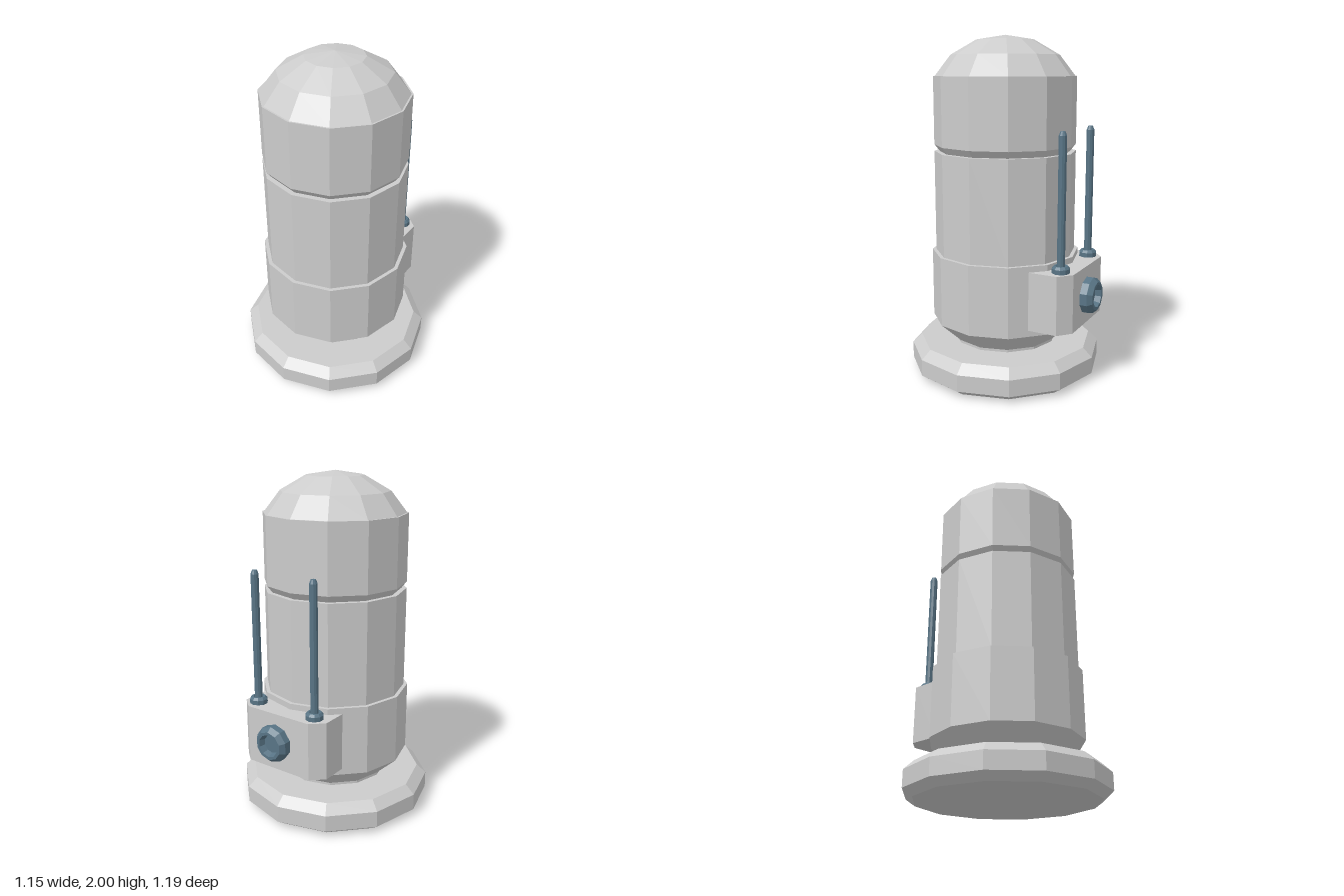
import * as THREE from 'three';

const grey = new THREE.MeshStandardMaterial({ color: 0xcccccc, flatShading: true });
const blue = new THREE.MeshStandardMaterial({ color: 0x587485, flatShading: true });

// Faceted turned part from [radius, y] pairs, listed bottom to top
function turned(name, profile, sides, material) {
  const points = profile.map(([r, y]) => new THREE.Vector2(r, y));
  const mesh = new THREE.Mesh(new THREE.LatheGeometry(points, sides), material);
  mesh.name = name;
  return mesh;
}

export function createModel() {
  const model = new THREE.Group();
  model.name = 'canister';

  // Twelve-sided body sections, stacked on one axis
  const body = new THREE.Group();
  body.name = 'body';
  body.position.z = 0.015;
  body.add(
    turned('base', [[0, 0], [0.52, 0], [0.576, 0.04], [0.576, 0.138], [0.52, 0.19], [0, 0.19]], 12, grey),
    turned('neck', [[0.315, 0.19], [0.315, 0.205]], 12, grey),
    turned('lowerSection', [[0, 0.205], [0.315, 0.205], [0.442, 0.323], [0.442, 0.735], [0.4, 0.735]], 12, grey),
    turned('middleSection', [[0.42, 0.735], [0.42, 1.333], [0, 1.333]], 12, grey),
    turned('upperSection', [[0.39, 1.333], [0.42, 1.372], [0.42, 1.768], [0.39, 1.768]], 12, grey),
    turned('dome', [[0.41, 1.768], [0.317, 1.888], [0.167, 1.974], [0, 2]], 12, grey),
  );
  model.add(body);

  // Equipment box with chamfered rear corners (outline in x and -z)
  const outline = new THREE.Shape([
    [-0.29, 0.28], [0.29, 0.28], [0.29, 0.46], [0.215, 0.527], [-0.215, 0.527], [-0.29, 0.46],
  ].map(([x, y]) => new THREE.Vector2(x, y)));
  const boxGeometry = new THREE.ExtrudeGeometry(outline, { depth: 0.34, bevelEnabled: false });
  boxGeometry.rotateX(-Math.PI / 2);
  const box = new THREE.Mesh(boxGeometry, grey);
  box.name = 'rearBox';
  box.position.set(0.01, 0.36, 0);
  model.add(box);

  // Two antennas, each with a stepped collar
  for (const [side, x] of [['left', 0.215], ['right', -0.19]]) {
    const antenna = new THREE.Group();
    antenna.name = side + 'Antenna';
    antenna.position.set(x, 0.7, -0.447);
    antenna.add(
      turned('collar', [[0.052, 0], [0.052, 0.026], [0.04, 0.04], [0.03, 0.04], [0.026, 0.03], [0, 0.03]], 10, blue),
      turned('rod', [[0.023, 0.02], [0.023, 0.76], [0.014, 0.782], [0, 0.782]], 10, blue),
    );
    model.add(antenna);
  }

  // Round port with a recessed face on the back of the box
  const port = turned('port',
    [[0.107, 0], [0.107, 0.042], [0.084, 0.07], [0.066, 0.07], [0.054, 0.035], [0, 0.035]], 10, blue);
  port.rotation.x = -Math.PI / 2;
  port.position.set(0.025, 0.53, -0.526);
  model.add(port);

  return model;
}
